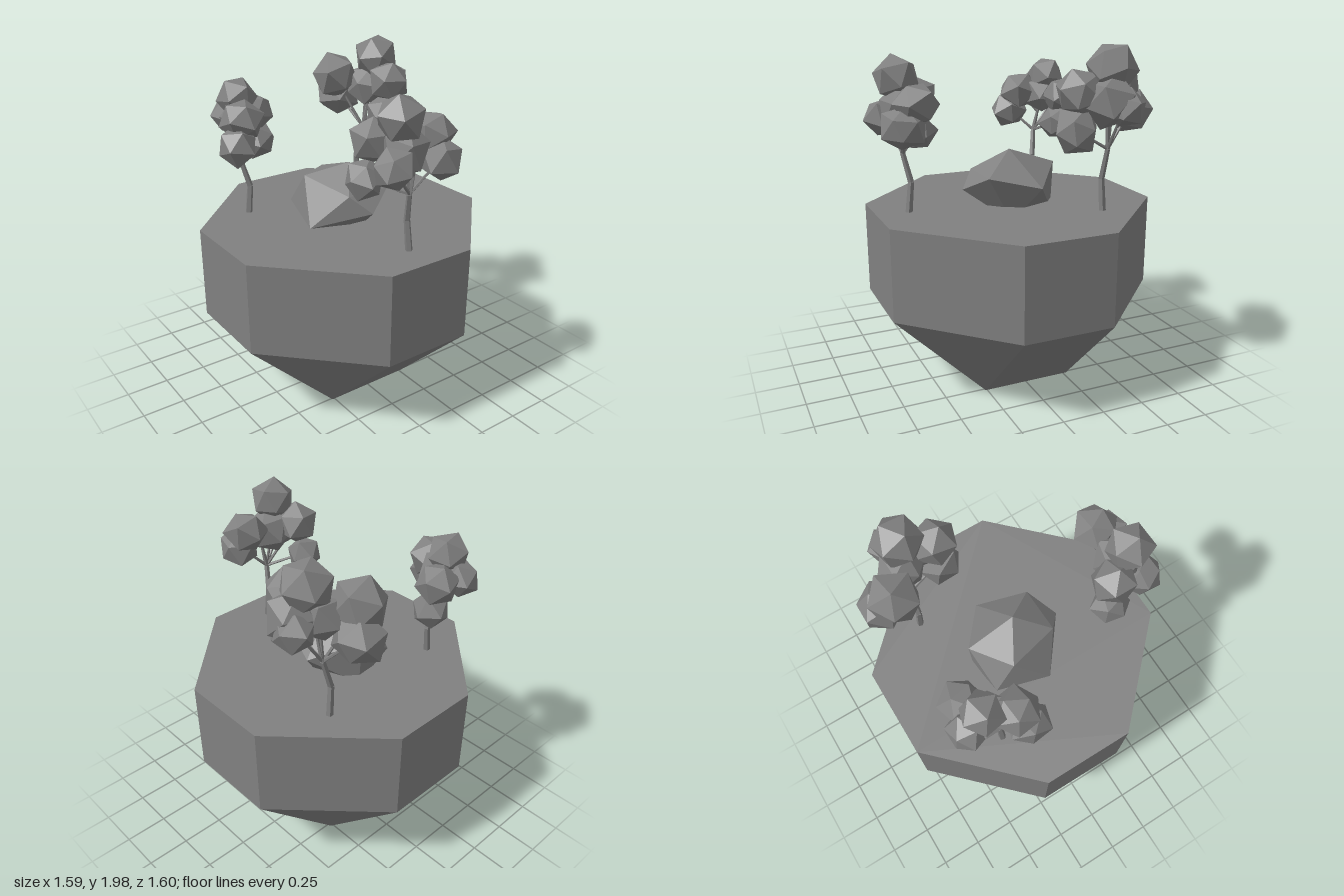
import * as THREE from 'three';
import { ConvexGeometry } from 'three/addons/geometries/ConvexGeometry.js';

const V = (p) => new THREE.Vector3(...p);
const material = new THREE.MeshStandardMaterial({ color: 0x808080, flatShading: true });

function addMesh(parent, geometry, name) {
  const mesh = new THREE.Mesh(geometry, material);
  mesh.name = name;
  parent.add(mesh);
  return mesh;
}

// Five-sided tapered limb between two points
function addLimb(parent, from, to, r0, r1, name) {
  const a = V(from), b = V(to);
  const dir = b.clone().sub(a);
  const limb = addMesh(parent, new THREE.CylinderGeometry(r1, r0, dir.length(), 5), name);
  limb.position.copy(a).add(b).multiplyScalar(0.5);
  limb.quaternion.setFromUnitVectors(new THREE.Vector3(0, 1, 0), dir.normalize());
}

// Icosahedron with its corners pushed in and out a little
function clumpGeometry(radius, seed) {
  const geometry = new THREE.IcosahedronGeometry(1, 0);
  const pos = geometry.attributes.position;
  const p = new THREE.Vector3();
  for (let i = 0; i < pos.count; i++) {
    p.fromBufferAttribute(pos, i);
    p.multiplyScalar(radius * (1.1 + 0.1 * Math.sin(7 * p.x + 11 * p.y + 17 * p.z + seed)));
    pos.setXYZ(i, p.x, p.y, p.z);
  }
  geometry.computeVertexNormals();
  return geometry;
}

// Bent trunk, one thin branch per leaf clump; clumps are [x, y, z, radius]
function makeTree(name, trunk, clumps) {
  const tree = new THREE.Group();
  tree.name = name;
  const radii = [0.021, 0.018, 0.015, 0.009];
  for (let i = 0; i < trunk.length - 1; i++) {
    addLimb(tree, trunk[i], trunk[i + 1], radii[i], radii[i + 1], 'trunk');
  }
  const [fork, tip] = trunk.slice(-2);
  clumps.forEach(([x, y, z, r], i) => {
    addLimb(tree, i % 2 || y < tip[1] + 0.1 ? fork : tip, [x, y, z], 0.01, 0.006, 'branch');
    const clump = addMesh(tree, clumpGeometry(r, i * 2), 'leafClump');
    clump.position.set(x, y, z);
    clump.rotation.set(i * 1.3 + x * 4, i * 2.1, i * 0.7 + z * 3);
  });
  return tree;
}

export function createModel() {
  const model = new THREE.Group();

  // Octagonal block tapering to a small square underside
  const a = 0.265, b = 0.795, cz = -0.005;
  const points = [];
  for (const sx of [-1, 1]) {
    for (const sz of [-1, 1]) {
      points.push(V([sx * a, 0, sz * a + cz]));
      for (const y of [0.53, 1.06]) {
        points.push(V([sx * a, y, sz * b + cz]), V([sx * b, y, sz * a + cz]));
      }
    }
  }
  addMesh(model, new ConvexGeometry(points), 'island');

  // Faceted boulder, partly sunk into the ground
  const rock = [
    [0.035, 1.378, 0.01], [0.035, 1.28, -0.275], [-0.19, 1.305, -0.12],
    [-0.21, 1.12, -0.245], [-0.28, 1.06, 0.07], [-0.1, 1.25, 0.195],
    [0.17, 1.245, 0.19], [0, 1.155, 0.285], [0.275, 1.185, -0.09],
    [0.1, 0.96, 0.02], [-0.12, 0.97, 0.02], [0.035, 1.0, -0.26],
  ];
  addMesh(model, new ConvexGeometry(rock.map(V)), 'boulder');

  model.add(makeTree('frontTree',
    [[-0.005, 1.05, 0.605], [-0.01, 1.23, 0.585], [-0.03, 1.39, 0.62], [0.0, 1.54, 0.62]],
    [
      [-0.1, 1.79, 0.615, 0.12], [0.14, 1.56, 0.66, 0.115], [0.13, 1.68, 0.59, 0.115],
      [-0.17, 1.67, 0.5, 0.115], [-0.21, 1.465, 0.475, 0.1], [-0.19, 1.57, 0.68, 0.105],
      [-0.07, 1.64, 0.6, 0.13],
    ]));

  model.add(makeTree('leftTree',
    [[-0.44, 1.05, -0.35], [-0.42, 1.22, -0.355], [-0.46, 1.38, -0.38], [-0.44, 1.5, -0.4]],
    [
      [-0.43, 1.72, -0.45, 0.11], [-0.54, 1.51, -0.25, 0.11], [-0.49, 1.64, -0.29, 0.115],
      [-0.3, 1.62, -0.49, 0.11], [-0.29, 1.45, -0.47, 0.105], [-0.44, 1.61, -0.54, 0.1],
      [-0.42, 1.61, -0.42, 0.11],
    ]));

  model.add(makeTree('rightTree',
    [[0.4, 1.05, -0.405], [0.385, 1.24, -0.4], [0.44, 1.42, -0.4], [0.46, 1.58, -0.38]],
    [
      [0.51, 1.87, -0.36, 0.13], [0.46, 1.54, -0.19, 0.12], [0.55, 1.7, -0.33, 0.135],
      [0.3, 1.74, -0.52, 0.135], [0.37, 1.61, -0.58, 0.125], [0.61, 1.67, -0.39, 0.1],
      [0.48, 1.74, -0.19, 0.12], [0.46, 1.69, -0.4, 0.12],
    ]));

  return model;
}
